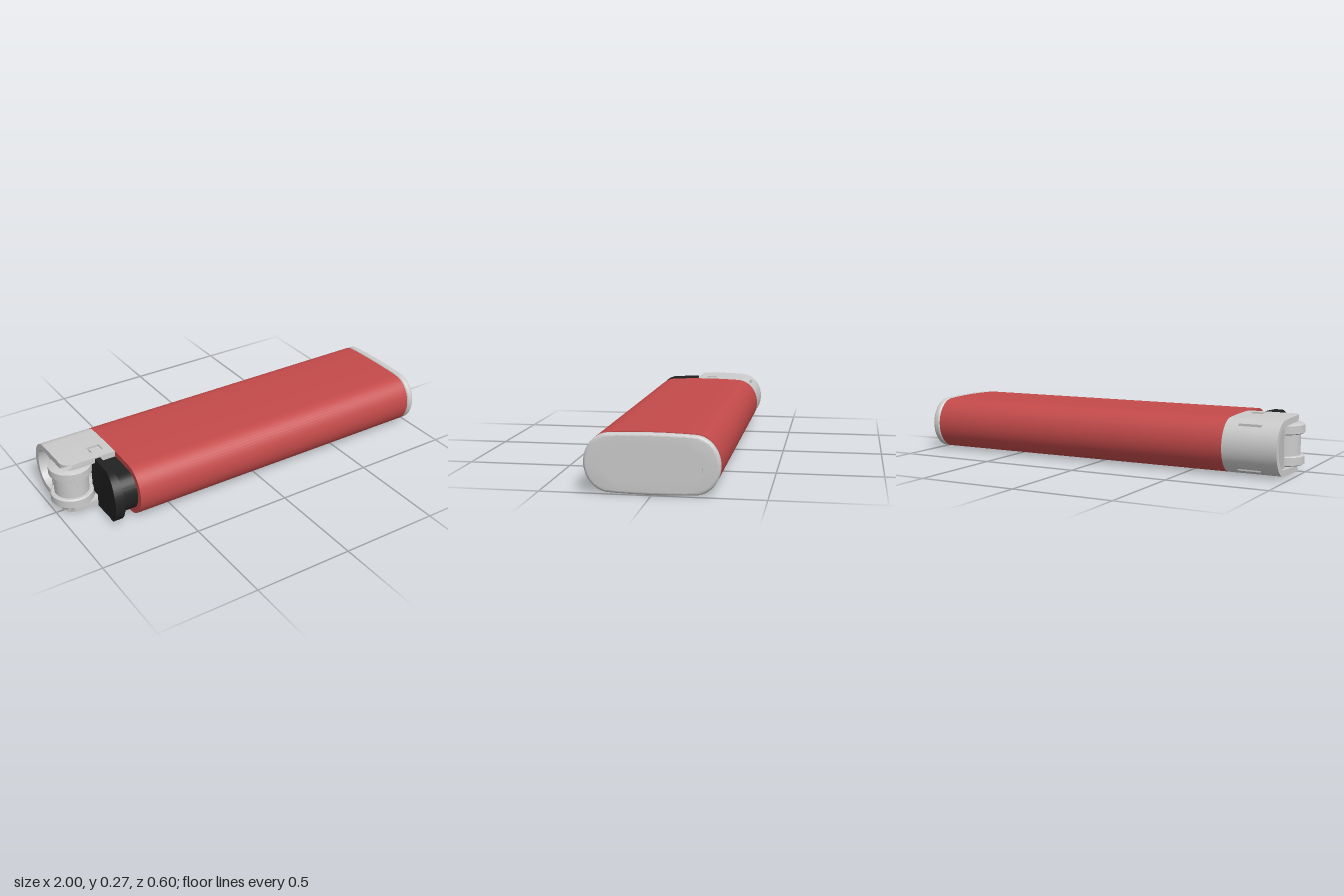
import * as THREE from 'three';
import { toCreasedNormals } from 'three/addons/utils/BufferGeometryUtils.js';

const HALF = 0.136; // half thickness of the body
const material = (color) => new THREE.MeshStandardMaterial({ color });

// Half height of the pill-shaped section at z, inset by t
function halfHeight(z, t = 0) {
  const a = Math.abs(z);
  if (a < 0.185) return HALF - t - 0.005 * (a / 0.185) ** 2;
  return (0.131 - t) * Math.sqrt(Math.max(0, 1 - ((a - 0.185) / (0.115 - t)) ** 2));
}

// Upper edge of the section from z0 to z1, inset by t, as [z, y] points
function edge(z0, z1, t = 0, n = 48) {
  const w = 0.3 - t;
  const angle = (z) => Math.asin(THREE.MathUtils.clamp(z / w, -1, 1));
  return Array.from({ length: n + 1 }, (_, i) => {
    const z = w * Math.sin(THREE.MathUtils.lerp(angle(z0), angle(z1), i / n));
    return [z, halfHeight(z, t)];
  });
}

const flip = (points) => points.map(([z, y]) => [z, -y]);

// Closed section between z0 and z1
function section(z0 = -0.3, z1 = 0.3, t = 0) {
  const top = edge(z0, z1, t);
  const bottom = flip(top).reverse().filter(([, y]) => y < -1e-4);
  return [...top, ...bottom];
}

const scaled = (points, sz, sy) => points.map(([z, y]) => [z * sz, y * sy]);
const toVectors = (points) => points.map(([z, y]) => new THREE.Vector2(z, y));

export function createModel() {
  const root = new THREE.Group();
  root.name = 'lighter';
  const model = new THREE.Group();
  model.name = 'lighterParts';
  model.position.y = HALF;
  root.add(model);

  const grey = material(0xcccccc);
  const red = material(0xc44a4a);
  const black = material(0x222222);

  function add(name, geometry, mat, parent = model) {
    const mesh = new THREE.Mesh(toCreasedNormals(geometry, 0.6), mat);
    mesh.name = name;
    parent.add(mesh);
    return mesh;
  }

  // Prism with a [z, y] outline running from x0 to x1
  function prism(points, x0, x1, { hole, steps = 1, rule } = {}) {
    const shape = new THREE.Shape(toVectors(points));
    if (hole) shape.holes.push(hole);
    const geometry = new THREE.ExtrudeGeometry(shape, {
      depth: x1 - x0, steps, bevelEnabled: false, curveSegments: 32,
    });
    geometry.rotateY(-Math.PI / 2).translate(x1, 0, 0);
    if (rule) {
      const p = geometry.attributes.position;
      const v = new THREE.Vector3();
      for (let i = 0; i < p.count; i++) {
        rule(v.fromBufferAttribute(p, i));
        p.setXYZ(i, v.x, v.y, v.z);
      }
    }
    return geometry;
  }

  function box(name, x0, x1, y0, y1, z0, z1, mat, parent = model) {
    const geometry = new THREE.BoxGeometry(x1 - x0, y1 - y0, z1 - z0);
    geometry.translate((x0 + x1) / 2, (y0 + y1) / 2, (z0 + z1) / 2);
    return add(name, geometry, mat, parent);
  }

  // Fuel body
  add('body', prism(section(), -0.69, 0.957), red);

  // Bottom cap: rounded rim, sunken panel with a filling hole
  const roundRim = (v) => {
    if (Math.abs(v.z) < 0.23 && Math.abs(v.y) < 0.085) return;
    const u = Math.min(1, Math.min(v.x - 0.962, 1 - v.x) / 0.013);
    const inset = 0.012 * (1 - Math.sqrt(Math.max(0, 1 - (1 - u) ** 2)));
    v.z *= 1 - inset / 0.3;
    v.y *= 1 - inset / HALF;
  };
  const recess = new THREE.Path(toVectors(scaled(section(), 0.75, 0.59)));
  add('bottomCapRim', prism(section(), 0.962, 1, { hole: recess, steps: 12, rule: roundRim }), grey);
  const valveHole = new THREE.Path().absarc(0, 0, 0.042, 0, Math.PI * 2, true);
  add('bottomCapPanel', prism(scaled(section(), 0.743, 0.58), 0.955, 0.994, { hole: valveHole }), grey);
  add('bottomCapPlug', prism(section(-0.3, 0.3, 0.02), 0.945, 0.97), grey);

  // Metal hood: a thin wall around the flame, with a slot and a window on each face
  const hood = new THREE.Group();
  hood.name = 'hood';
  model.add(hood);
  const X0 = -0.96, X1 = -0.69, WALL = 0.03;
  const roundCorner = (v) => {
    const r = 0.05;
    const k = Math.min(1, Math.max(0, v.z / r));
    v.x = Math.max(v.x, X0 + r * (1 - Math.sqrt(1 - k * k)));
  };
  const strips = [
    [-0.3, -0.258, X0, X1],
    [-0.258, -0.246, X0, -0.87], [-0.258, -0.246, -0.755, X1],
    [-0.246, -0.05, X0, X1],
    [-0.05, 0, X0, -0.795], [-0.05, 0, -0.73, X1],
    [0, 0.05, X0, X1],
  ];
  for (const [z0, z1, x0, x1] of strips) {
    const band = [...edge(z0, z1, 0, 24), ...edge(z0, z1, WALL, 24).reverse()];
    for (const points of [band, flip(band)]) {
      add('hoodWall', prism(points, x0, x1, { rule: roundCorner }), grey, hood);
    }
  }
  for (const s of [-1, 1]) {
    const y0 = s > 0 ? 0.106 : -0.13;
    box('windowTab', -0.785, -0.73, y0, y0 + 0.024, -0.042, -0.008, grey, hood);
    const y1 = s > 0 ? 0.07 : -0.094;
    box('slotBar', -0.835, -0.795, y1, y1 + 0.024, -0.26, -0.244, grey, hood);
  }
  add('hoodFloor', prism(section(-0.3, 0.05, WALL), -0.72, X1), grey, hood);
  box('flameGuard', -0.945, X1, -0.107, 0.107, -0.155, -0.142, grey, hood);

  // Gas nozzle inside the hood
  const nozzle = new THREE.CylinderGeometry(0.025, 0.035, 0.13, 24);
  nozzle.rotateZ(Math.PI / 2).translate(-0.775, 0, -0.205);
  add('nozzle', nozzle, grey);

  // Spark wheel: two thumb discs with a thinner drum between them
  const wheelProfile = [
    [0, -0.099], [0.096, -0.099], [0.105, -0.094], [0.105, -0.056], [0.098, -0.051], [0.085, -0.051],
    [0.085, 0.051], [0.098, 0.051], [0.105, 0.056], [0.105, 0.094], [0.096, 0.099], [0, 0.099],
  ];
  const wheel = add('sparkWheel', new THREE.LatheGeometry(toVectors(wheelProfile), 56), grey);
  wheel.position.set(-0.895, 0, -0.03);
  const axle = add('wheelAxle', new THREE.CylinderGeometry(0.02, 0.02, 0.22, 20), grey);
  axle.position.copy(wheel.position);

  // Thumb button: stem, flared plate and the arm reaching into the hood
  const button = new THREE.Group();
  button.name = 'thumbButton';
  model.add(button);
  add('buttonStem', prism(section(0.05, 0.27, 0.03), -0.785, -0.69), black, button);
  const flare = (v) => {
    if (v.x < -0.79) v.x -= 0.02 * Math.max(0, (v.z - 0.18) / 0.12);
  };
  add('buttonPlate', prism(section(0.06, 0.3), -0.802, -0.773, { rule: flare }), black, button);
  box('buttonArm', -0.785, -0.72, -0.1, 0.1, -0.03, 0.07, black, button);

  return root;
}
